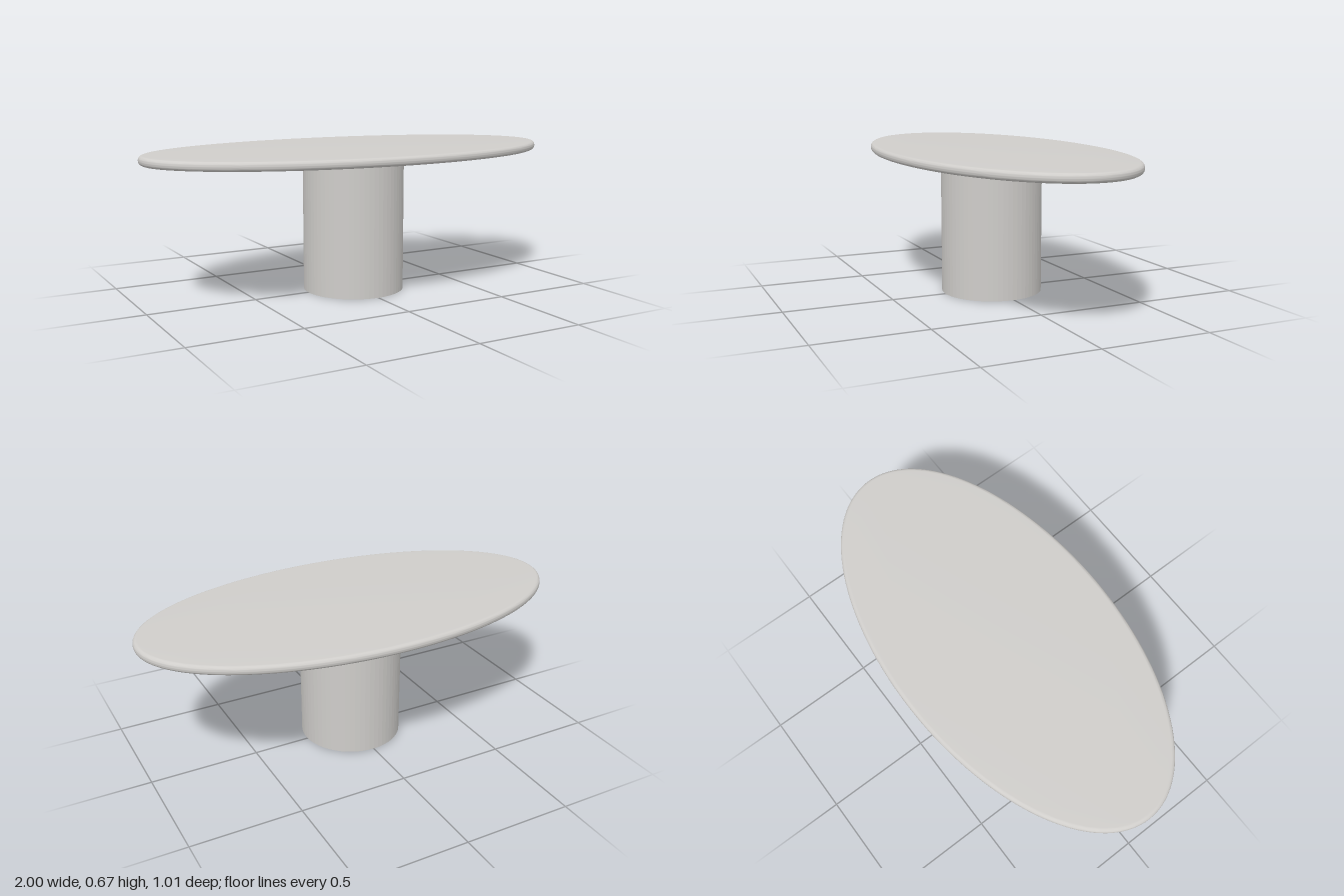
import * as THREE from 'three';
import { toCreasedNormals } from 'three/addons/utils/BufferGeometryUtils.js';

export function createModel() {
  const group = new THREE.Group();
  group.name = 'ovalPedestalTable';

  const stone = new THREE.MeshStandardMaterial({ color: 0xcfcdca });
  stone.name = 'paleStone';
  const facetedStone = stone.clone();
  facetedStone.flatShading = true;

  // Oval top with a rounded rim of constant width
  const bevel = 0.018;
  const thickness = 0.04;
  const bottom = 0.63;
  const oval = new THREE.Shape();
  oval.absellipse(0, 0, 1 - bevel, 0.505 - bevel, 0, Math.PI * 2);
  const topGeometry = new THREE.ExtrudeGeometry(oval, {
    depth: thickness - 2 * bevel,
    bevelEnabled: true,
    bevelSize: bevel,
    bevelThickness: bevel,
    bevelSegments: 6,
    curveSegments: 64,
  });
  topGeometry.rotateX(-Math.PI / 2);
  topGeometry.translate(0, bottom + bevel, 0);
  const tableTop = new THREE.Mesh(toCreasedNormals(topGeometry, 0.5), stone);
  tableTop.name = 'tableTop';
  group.add(tableTop);

  // Faceted drum pedestal, set slightly towards the front
  const pedestal = new THREE.Mesh(
    new THREE.CylinderGeometry(0.235, 0.235, bottom, 64),
    facetedStone
  );
  pedestal.name = 'pedestal';
  pedestal.position.set(0, bottom / 2, 0.008);
  group.add(pedestal);

  return group;
}
